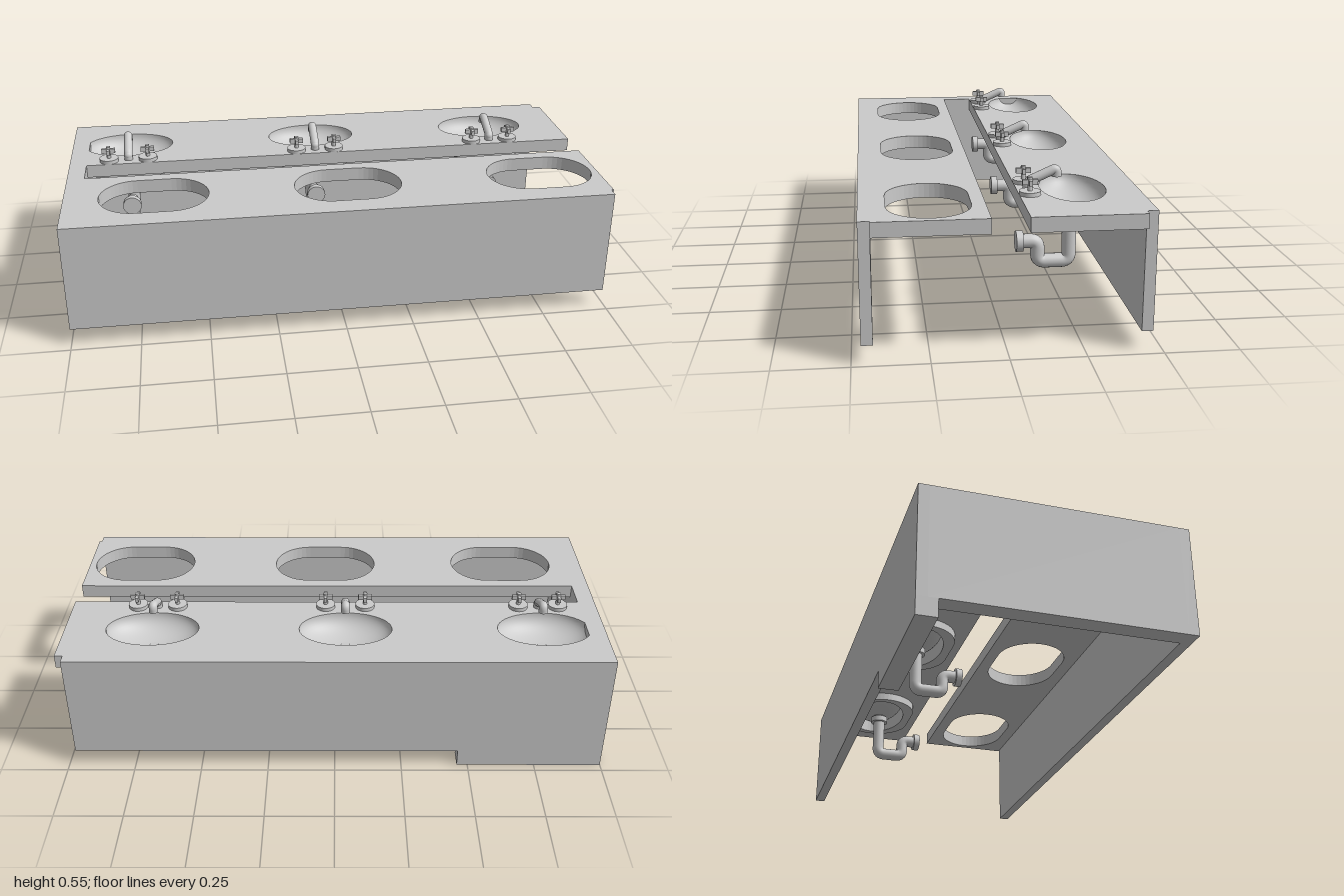
import * as THREE from 'three';

const grey = new THREE.MeshStandardMaterial({ color: 0xcccccc, side: THREE.DoubleSide });
const TOP = 0.47, SLAB = 0.42, INNER = -0.935;
const sinkX = [-0.775, -0.04, 0.675];
const SINK_Z = -0.243, BOWL_Z = -0.25;

function add(parent, name, geometry, x = 0, y = 0, z = 0) {
  const mesh = new THREE.Mesh(geometry, grey);
  mesh.name = name;
  mesh.position.set(x, y, z);
  parent.add(mesh);
  return mesh;
}

// Box given by its limits on each axis
function block(parent, name, x0, x1, y0, y1, z0, z1) {
  return add(parent, name, new THREE.BoxGeometry(x1 - x0, y1 - y0, z1 - z0),
    (x0 + x1) / 2, (y0 + y1) / 2, (z0 + z1) / 2);
}

// Plan outlines, drawn with shape y = -z
function capsule(cx, cz, half = 0.063, r = 0.137) {
  const pts = [];
  for (let i = 0; i <= 48; i++) {
    const side = i < 24 ? 1 : -1;
    const a = -Math.PI / 2 + ((i < 24 ? i / 23 : 1 + (i - 24) / 24)) * Math.PI;
    pts.push(new THREE.Vector2(cx + side * half + Math.cos(a) * r, -cz + Math.sin(a) * r));
  }
  return pts;
}

function ellipse(cx, cz, rx, rz) {
  return new THREE.EllipseCurve(cx, -cz, rx, rz).getPoints(48).slice(0, -1);
}

function plate(outline, holes, y0, y1) {
  const shape = new THREE.Shape(outline);
  holes.forEach((h) => shape.holes.push(new THREE.Path(h)));
  const g = new THREE.ExtrudeGeometry(shape, { depth: y1 - y0, bevelEnabled: false });
  return g.rotateX(-Math.PI / 2).translate(0, y0, 0);
}

function rectangle(x0, x1, z0, z1) {
  return [[x0, -z1], [x1, -z1], [x1, -z0], [x0, -z0]].map((p) => new THREE.Vector2(...p));
}

// Round tube along [y, z] points at x = 0, with bent corners
function bentTube(points, radius, bend) {
  const p = points.map(([y, z]) => new THREE.Vector3(0, y, z));
  const path = new THREE.CurvePath();
  let from = p[0];
  for (let i = 1; i < p.length - 1; i++) {
    const a = p[i].clone().add(p[i - 1].clone().sub(p[i]).setLength(bend));
    const b = p[i].clone().add(p[i + 1].clone().sub(p[i]).setLength(bend));
    path.add(new THREE.LineCurve3(from, a));
    path.add(new THREE.QuadraticBezierCurve3(a, p[i], b));
    from = b;
  }
  path.add(new THREE.LineCurve3(from, p[p.length - 1]));
  return new THREE.TubeGeometry(path, 72, radius, 20);
}

function makeSink() {
  const sink = new THREE.Group();
  sink.name = 'sink';

  // Basin block and hollow bowl
  add(sink, 'basinRim', plate(capsule(0, SINK_Z), [ellipse(0, BOWL_Z, 0.172, 0.11)], 0.39, TOP));
  const profile = [];
  for (let i = 0; i <= 14; i++) {
    const a = (i / 14) * Math.PI / 2;
    profile.push(new THREE.Vector2(0.172 * Math.sin(a), -0.077 * Math.cos(a)));
  }
  add(sink, 'bowl', new THREE.LatheGeometry(profile, 48), 0, TOP, BOWL_Z).scale.z = 0.11 / 0.172;
  add(sink, 'drain', new THREE.CylinderGeometry(0.018, 0.018, 0.006, 24), 0, 0.394, BOWL_Z);

  // Trap pipe with its two collars
  add(sink, 'trapPipe', bentTube(
    [[0.392, SINK_Z], [0.213, SINK_Z], [0.213, -0.135], [0.285, -0.135], [0.285, -0.07]], 0.0245, 0.026));
  add(sink, 'drainCollar', new THREE.CylinderGeometry(0.036, 0.036, 0.023, 28), 0, 0.373, SINK_Z);
  add(sink, 'wallCollar', new THREE.CylinderGeometry(0.036, 0.036, 0.024, 28).rotateX(Math.PI / 2),
    0, 0.285, -0.072);

  // Spout
  add(sink, 'spout', bentTube([[0.472, -0.098], [0.494, -0.098], [0.538, -0.196], [0.51, -0.196]], 0.0165, 0.016));
  add(sink, 'spoutBase', new THREE.SphereGeometry(0.0165, 20, 12), 0, 0.488, -0.098);
  add(sink, 'spoutMouth', new THREE.CircleGeometry(0.0165, 20).rotateX(Math.PI / 2), 0, 0.511, -0.196);

  // Cross handles
  for (const x of [-0.075, 0.075]) {
    const tap = new THREE.Group();
    tap.name = 'tap';
    tap.position.set(x, TOP, -0.095);
    add(tap, 'tapBase', new THREE.CylinderGeometry(0.036, 0.036, 0.014, 28), 0, 0.007, 0);
    add(tap, 'tapStem', new THREE.CylinderGeometry(0.008, 0.008, 0.06, 16), 0, 0.03, 0);
    add(tap, 'tapBarAcross', new THREE.BoxGeometry(0.052, 0.018, 0.012), 0, 0.043, 0);
    add(tap, 'tapBarAlong', new THREE.BoxGeometry(0.012, 0.018, 0.052), 0, 0.043, 0);
    sink.add(tap);
  }
  return sink;
}

export function createModel() {
  const model = new THREE.Group();
  model.name = 'doubleVanity';

  // Cabinet walls, open at the left end
  block(model, 'frontPanel', -1, 0.99, 0.066, TOP, 0.43, 0.468);
  block(model, 'backPanel', -1, 0.97, 0.066, TOP, -0.468, -0.43);
  block(model, 'endPanel', -1, INNER, 0.066, TOP, -0.43, 0.43);
  block(model, 'backFoot', -1, -0.46, 0, 0.066, -0.468, -0.396);
  block(model, 'footBacking', INNER, -0.46, 0.066, SLAB, -0.43, -0.396);

  // Front counter with open cut-outs, set opposite the sinks
  add(model, 'frontCounter', plate(rectangle(INNER, 1, 0.06, 0.43),
    sinkX.map((x) => capsule(-x, -SINK_Z)), SLAB, TOP));

  // Rear counter, cut to receive the basins
  const cuts = sinkX.map((x) => capsule(x, SINK_Z));
  cuts.flat().forEach((p) => { p.x = Math.max(p.x, INNER + 0.001); });
  add(model, 'rearCounter', plate(rectangle(INNER, 1, -0.43, -0.06), cuts, SLAB, TOP));

  for (const x of sinkX) {
    const sink = makeSink();
    sink.position.x = x;
    model.add(sink);
  }
  return model;
}
